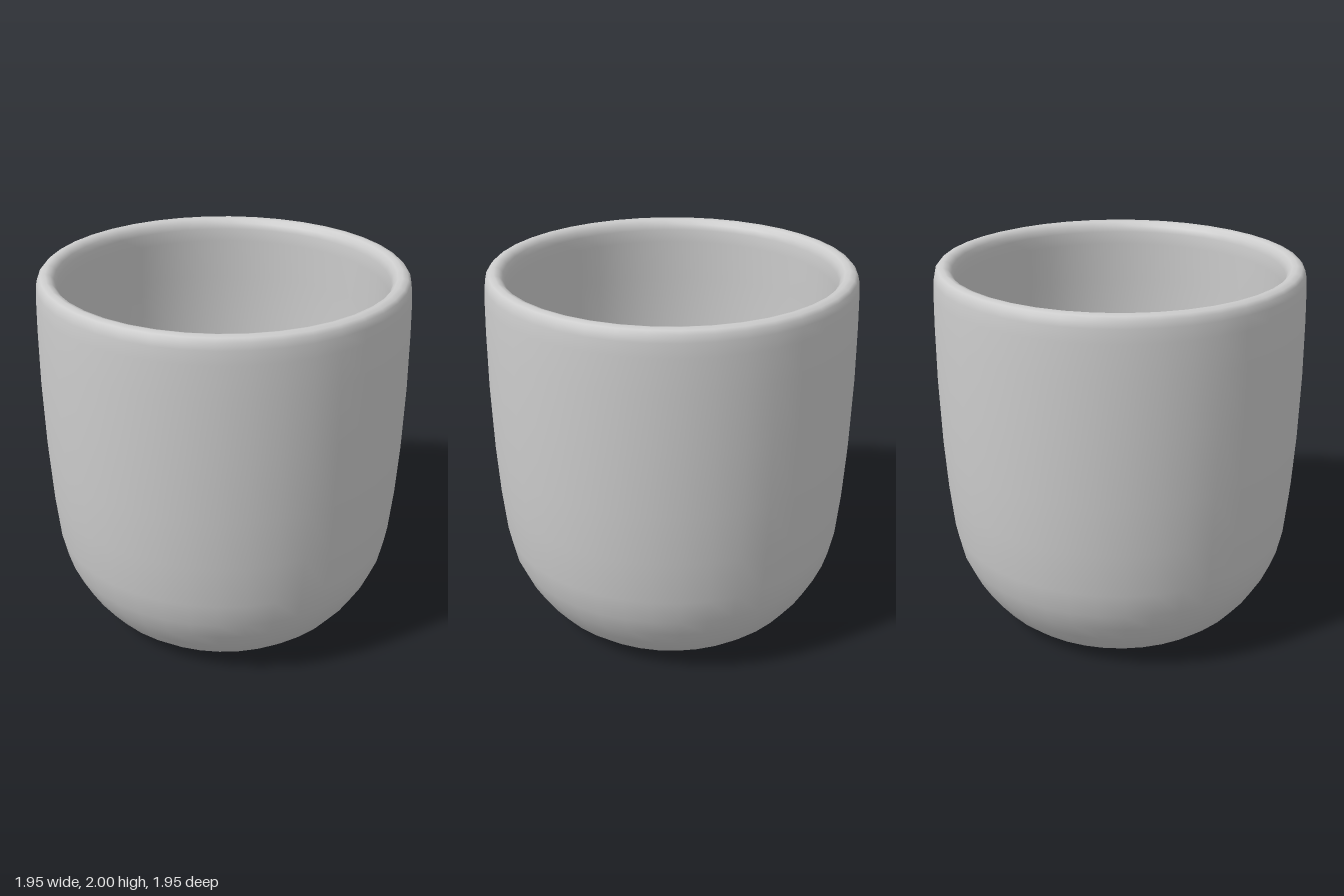
import * as THREE from 'three';

export function createModel() {
  const group = new THREE.Group();
  group.name = 'cup';
  const clay = new THREE.MeshStandardMaterial({ color: 0xcccccc });
  clay.name = 'plain grey';

  const addLathe = (name, profile) => {
    const points = profile.map(([r, y]) => new THREE.Vector2(r, y));
    const mesh = new THREE.Mesh(new THREE.LatheGeometry(points, 40), clay);
    mesh.name = name;
    group.add(mesh);
  };

  // Flat foot
  addLathe('foot', [[0, 0], [0.3, 0], [0.56, 0]]);

  // Rounded outer wall, rolled rim and hollow inside, as one smooth profile
  addLathe('body', [
    [0.56, 0], [0.61, 0.02], [0.665, 0.053], [0.73, 0.11], [0.8, 0.2],
    [0.855, 0.295], [0.9, 0.4], [0.93, 0.54], [0.952, 0.78], [0.966, 1.05],
    [0.973, 1.4], [0.97, 1.7], [0.965, 1.87], [0.96, 1.94], [0.952, 1.975],
    [0.937, 1.992], [0.91, 2], [0.885, 1.992], [0.867, 1.972], [0.857, 1.94],
    [0.855, 1.87], [0.862, 1.65], [0.865, 1.4], [0.86, 1.05], [0.847, 0.8],
    [0.825, 0.58], [0.79, 0.44], [0.73, 0.32], [0.65, 0.22], [0.54, 0.15],
    [0.4, 0.115], [0.2, 0.1], [0, 0.1],
  ]);
  return group;
}
